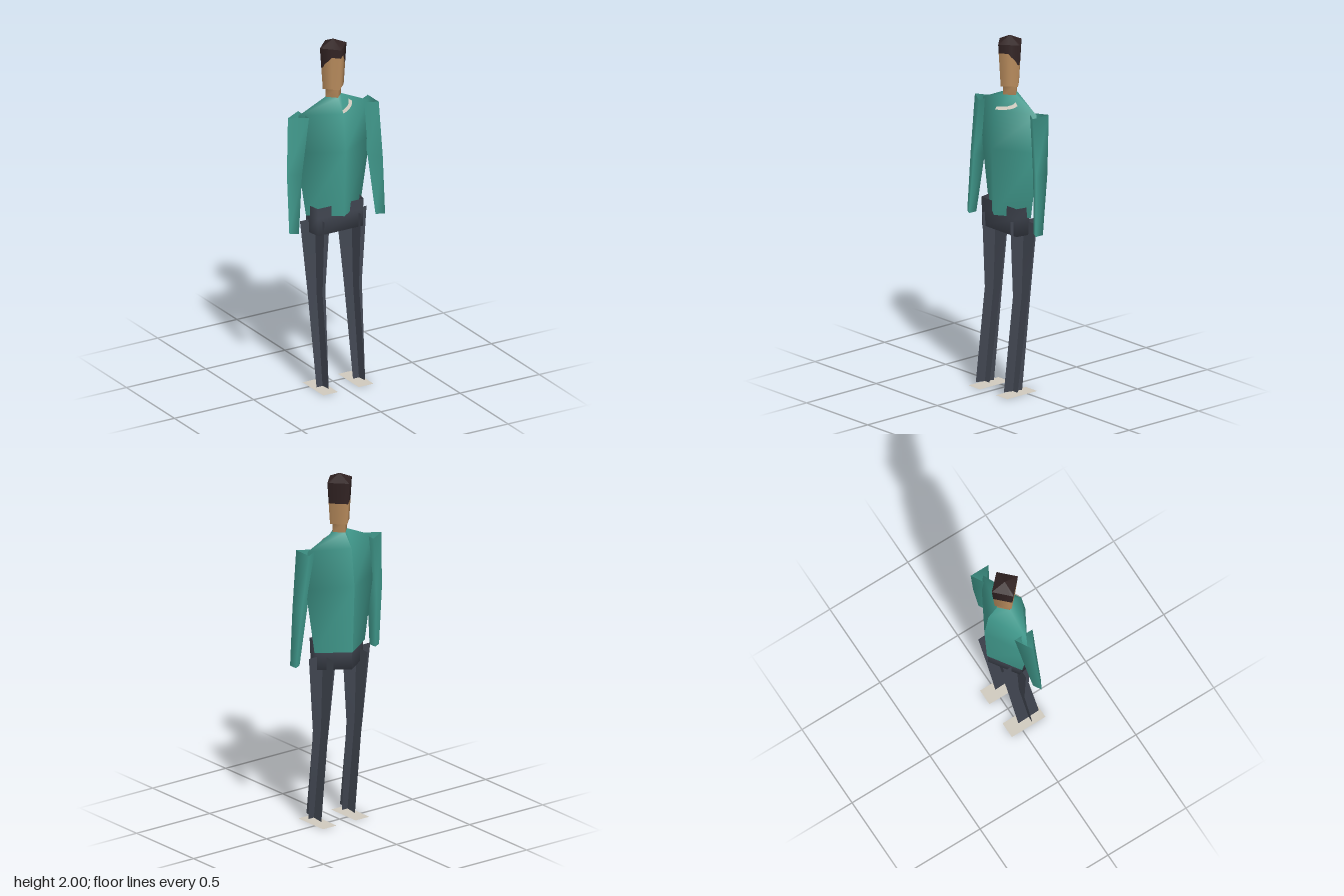
import * as THREE from 'three';

const material = (name, color) => new THREE.MeshStandardMaterial({ name, color, side: THREE.DoubleSide });

const CX = 0.01, CZ = -0.013; // body axis

// Open tube through rings of points [x, y, z]; the seam column is doubled
function loft(rings, closed = true) {
  const n = rings[0].length, cols = closed ? n + 1 : n;
  const pos = [], index = [];
  for (const ring of rings) for (let j = 0; j < cols; j++) pos.push(...ring[j % n]);
  for (let i = 0; i < rings.length - 1; i++) {
    for (let j = 0; j < cols - 1; j++) {
      const a = i * cols + j, b = a + cols; // a upper, b lower
      index.push(a, b, a + 1, b, b + 1, a + 1);
    }
  }
  const g = new THREE.BufferGeometry();
  g.setAttribute('position', new THREE.Float32BufferAttribute(pos, 3));
  g.setIndex(index);
  g.computeVertexNormals();
  return g;
}

// Regular ring of points, starting at angle start and turning from +z to +x
function ring(sides, start, cx, y, cz, rx, rz) {
  return Array.from({ length: sides }, (_, j) => {
    const t = start + (j / sides) * Math.PI * 2;
    return [cx + Math.sin(t) * rx, y, cz + Math.cos(t) * rz];
  });
}
const diamond = (y, rx, rz) => ring(4, Math.PI, CX, y, CZ, rx, rz);

// Point on the head's diamond wall: u runs 0..4 from the back, via the right side
function headPoint(u, y) {
  const r = y <= 1.72 ? 0.066 : 0.066 + 0.018 * (y - 1.72) / 0.24;
  const k = Math.floor(u) % 4, f = u - Math.floor(u);
  const corner = [[0, -1], [-1, 0], [0, 1], [1, 0]];
  const [p, q] = [corner[k], corner[(k + 1) % 4]];
  return [CX + r * (p[0] + (q[0] - p[0]) * f), y, CZ + r * (p[1] + (q[1] - p[1]) * f)];
}

// Soft normals pointing out from the body axis
function roundNormals(g) {
  const p = g.attributes.position, n = g.attributes.normal, v = new THREE.Vector3();
  for (let i = 0; i < p.count; i++) {
    v.set(p.getX(i) - CX, p.getY(i) > 1.99 ? 0.1 : 0.005, p.getZ(i) - CZ).normalize();
    n.setXYZ(i, v.x, v.y, v.z);
  }
  return g;
}

export function createModel() {
  const teal = material('sweaterTeal', 0x419a8d);
  const slate = material('trouserSlate', 0x414651);
  const skin = material('skin', 0xb08558);
  const brown = material('hairBrown', 0x302222);
  const beige = material('shoeBeige', 0xcfc9bd);

  const model = new THREE.Group();
  const add = (name, geometry, mat, parent = model) => {
    const m = new THREE.Mesh(geometry, mat);
    m.name = name;
    parent.add(m);
    return m;
  };

  // Sweater body
  add('torso', loft([
    diamond(1.67, 0.05, 0.05),
    diamond(1.595, 0.218, 0.106),
    diamond(1.38, 0.232, 0.131),
    diamond(1.0, 0.172, 0.115),
  ]), teal);

  // Pale strip on the front left of the chest
  const strip = [0.1, -0.1].map((half) => Array.from({ length: 7 }, (_, i) => {
    const f = i / 6, s = 0.66 * f, t = 0.13 + 0.37 * f * f + half;
    const hx = 0.218 - 0.168 * t, hz = 0.106 - 0.056 * t;
    return [CX + hx * s, 1.595 + 0.075 * t + 0.001, CZ + hz * (1 - s) + 0.003];
  }));
  add('chestStrip', loft(strip, false), beige);

  // Neck
  add('neck', loft([diamond(1.73, 0.05, 0.05), diamond(1.665, 0.05, 0.05)]), skin);

  // Head: skin below the hairline, hair above; the hairline rises over the brow
  const hairline = [[0, 1.84], [0.86, 1.84], [1.1, 1.85], [1.2, 1.87], [1.4, 1.89], [1.55, 1.91],
    [2, 1.91], [2.45, 1.91], [2.6, 1.89], [2.8, 1.87], [2.9, 1.85], [3.14, 1.84]];
  // keep the diamond's side corners as columns
  hairline.splice(2, 0, [1, 1.842]);
  hairline.splice(12, 0, [3, 1.842]);
  const headRing = (y) => hairline.map(([u, h]) => headPoint(u, y ?? h));
  const head = new THREE.Group();
  head.name = 'head';
  model.add(head);
  add('face', roundNormals(loft([headRing(), headRing(1.72)])), skin, head);
  add('chinBase', loft([hairline.map(() => [CX, 1.72, CZ]), headRing(1.72)].reverse()), skin, head);
  add('hair', roundNormals(loft([headRing(1.96), headRing()])), brown, head);
  add('hairTop', loft([hairline.map(() => [CX, 2.0, CZ]), headRing(1.96)]), brown, head);

  // Pelvis: flat front, pointed back
  const hips = (y, k) => [[0, -0.112], [-0.16, -0.005], [-0.145, 0.078], [0.145, 0.078], [0.16, -0.005]]
    .map(([x, z]) => [CX + x * k, y, CZ + z * k]);
  add('pelvis', loft([hips(1.06, 1), hips(1.0, 0.98), hips(0.9, 0.97), hips(0.9, 0)]), slate);

  for (const side of [-1, 1]) {
    const label = side > 0 ? 'left' : 'right';

    // Three-sided sleeve, slightly bent at the elbow
    const sleeve = [[1.595, 0.22, CZ, 0.066], [1.27, 0.255, 0.003, 0.047], [0.935, 0.272, 0.028, 0.03]];
    add(label + 'Arm', loft(sleeve.map(([y, x, z, r]) =>
      ring(3, -Math.PI / 2, CX + side * x, y, z, r, r))), teal);

    // Leg of two crossed plates
    const legX = CX + side * 0.115;
    const leg = new THREE.Group();
    leg.name = label + 'Leg';
    model.add(leg);
    const levels = [ // height, plate half width, front height and z, back height and z
      [0.975, 0.095, 0.983, 0.085, 0.968, -0.11],
      [0.55, 0.056, 0.555, 0.066, 0.545, -0.06],
      [0.018, 0.038, 0.025, 0.131, 0.011, 0.0],
    ];
    add('legFrontPlate', loft(levels.map(([y, w, , zf, , zb]) =>
      [[legX - w, y, (zf + zb) / 2], [legX + w, y, (zf + zb) / 2]]), false), slate, leg);
    add('legSidePlate', loft(levels.map(([, , yf, zf, yb, zb]) =>
      [[legX, yf, zf], [legX, yb, zb]]), false), slate, leg);

    // Flat foot
    const foot = add(label + 'Foot', new THREE.PlaneGeometry(0.093, 0.215).rotateX(-Math.PI / 2), beige);
    foot.position.set(CX + side * 0.112, 0, 0.0375);
  }
  return model;
}
